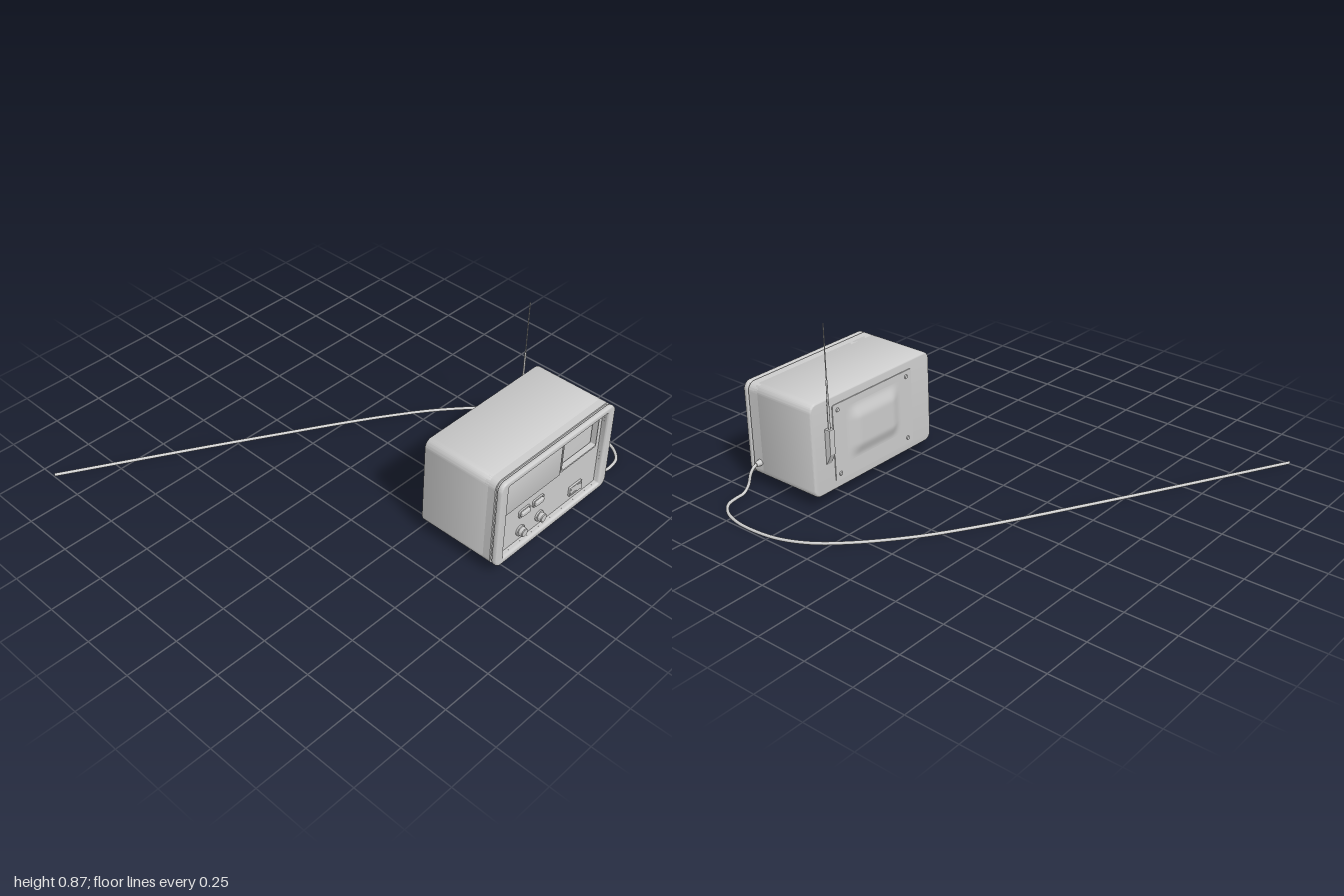
import * as THREE from 'three';
import { toCreasedNormals } from 'three/addons/utils/BufferGeometryUtils.js';
import { RoundedBoxGeometry } from 'three/addons/geometries/RoundedBoxGeometry.js';

const grey = new THREE.MeshStandardMaterial({ color: 0xcccccc });
const greyDouble = new THREE.MeshStandardMaterial({ color: 0xcccccc, side: THREE.DoubleSide });

// Rounded rectangle from its edges; also used for holes
function rect(x0, x1, y0, y1, r, Type = THREE.Shape) {
  const s = new Type();
  s.moveTo(x0 + r, y0);
  s.lineTo(x1 - r, y0);
  s.absarc(x1 - r, y0 + r, r, -Math.PI / 2, 0);
  s.lineTo(x1, y1 - r);
  s.absarc(x1 - r, y1 - r, r, 0, Math.PI / 2);
  s.lineTo(x0 + r, y1);
  s.absarc(x0 + r, y1 - r, r, Math.PI / 2, Math.PI);
  s.lineTo(x0, y0 + r);
  s.absarc(x0 + r, y0 + r, r, Math.PI, Math.PI * 1.5);
  return s;
}

// Extrude a shape (with holes) between two z planes, with rounded edges
function slab(shape, z0, z1, bevel = 0, ...holes) {
  shape.holes.push(...holes);
  const g = new THREE.ExtrudeGeometry(shape, {
    depth: z1 - z0 - 2 * bevel, curveSegments: 8, bevelEnabled: bevel > 0,
    bevelSize: bevel, bevelThickness: bevel, bevelOffset: -bevel, bevelSegments: 4,
  });
  g.translate(0, 0, z0 + bevel);
  return toCreasedNormals(g, 0.6);
}

export function createModel() {
  const model = new THREE.Group();
  const add = (name, geometry, x = 0, y = 0, z = 0, material = grey) => {
    const m = new THREE.Mesh(geometry, material);
    m.name = name;
    m.position.set(x, y, z);
    model.add(m);
    return m;
  };
  const hole = (x0, x1, y0, y1, r) => rect(x0, x1, y0, y1, r, THREE.Path);
  const outline = (inset = 0) => rect(-0.08 + inset, 0.69 - inset, 0.05 + inset, 0.51 - inset, 0.04 - inset);
  const opening = () => hole(-0.03, 0.64, 0.08, 0.48, 0.006);

  // Case, front rim, groove and bezel
  add('case', slab(outline(), 0.51, 0.87, 0.01));
  add('caseRim', slab(outline(), 0.84, 0.897, 0, opening()));
  add('grooveCore', slab(outline(0.008), 0.89, 0.912, 0, opening()));
  add('bezel', slab(outline(), 0.905, 0.93, 0.008, opening()));

  // Recessed front panel with a deep right window
  add('frontPanel', slab(rect(-0.03, 0.64, 0.08, 0.48, 0.004), 0.875, 0.9, 0, hole(0.37, 0.61, 0.305, 0.465, 0.004)));
  add('rightWindowFrame', slab(rect(0.363, 0.615, 0.297, 0.47, 0.004), 0.895, 0.904, 0, hole(0.37, 0.61, 0.305, 0.465, 0.004)));
  add('leftWindow', slab(rect(-0.012, 0.355, 0.292, 0.463, 0.006), 0.895, 0.908, 0.003));

  // Two push buttons in frames
  for (const x of [0.128, 0.221]) {
    add('buttonFrame', slab(rect(x - 0.036, x + 0.036, 0.209, 0.249, 0.01), 0.897, 0.908, 0.002,
      hole(x - 0.029, x + 0.029, 0.215, 0.243, 0.006)));
    add('button', new RoundedBoxGeometry(0.054, 0.024, 0.024, 2, 0.005), x, 0.229, 0.905);
  }

  // Two turning knobs
  const knobProfile = [[0, 0], [0.027, 0], [0.027, 0.01], [0.022, 0.012], [0.021, 0.028], [0.018, 0.031], [0, 0.031]]
    .map(([r, h]) => new THREE.Vector2(r, h));
  for (const x of [0.112, 0.241]) {
    const g = toCreasedNormals(new THREE.LatheGeometry(knobProfile, 28), 0.6);
    add('knob', g.rotateX(Math.PI / 2), x, 0.13, 0.898);
  }

  // Rocker switch
  add('switchFrame', slab(rect(0.447, 0.533, 0.108, 0.158, 0.005), 0.897, 0.91, 0.002,
    hole(0.456, 0.524, 0.115, 0.151, 0.002)));
  const rocker = new THREE.Shape();
  rocker.moveTo(-0.033, 0);
  rocker.lineTo(0.033, 0);
  rocker.lineTo(0.033, 0.02);
  rocker.lineTo(-0.003, 0.009);
  rocker.lineTo(-0.033, 0.012);
  const rockerGeometry = new THREE.ExtrudeGeometry(rocker, { depth: 0.034, bevelEnabled: false });
  add('switchRocker', rockerGeometry.rotateX(Math.PI / 2), 0.49, 0.15, 0.897);

  // Tapered feet
  for (const x of [0.02, 0.59]) for (const z of [0.597, 0.845]) {
    add('foot', new THREE.CylinderGeometry(0.021, 0.014, 0.05, 20), x, 0.027, z);
  }

  // Back panel with a softly raised middle
  add('backPanel', slab(rect(0.05, 0.56, 0.09, 0.465, 0.01), 0.506, 0.515));
  const bulge = new THREE.PlaneGeometry(0.35, 0.27, 40, 32);
  const p = bulge.attributes.position;
  const ramp = (v, half) => THREE.MathUtils.smoothstep(half - Math.abs(v), 0, 0.075);
  for (let i = 0; i < p.count; i++) {
    p.setZ(i, 0.021 * ramp(p.getX(i), 0.175) * ramp(p.getY(i), 0.135));
  }
  bulge.computeVertexNormals();
  add('backBulge', bulge.rotateY(Math.PI), 0.305, 0.295, 0.5055, greyDouble);
  for (const x of [0.085, 0.53]) for (const y of [0.12, 0.435]) {
    const g = new THREE.CylinderGeometry(0.008, 0.011, 0.006, 16).rotateX(-Math.PI / 2);
    add('backScrew', g, x, y, 0.504);
  }

  // Antenna bracket, tapered at its foot, and telescopic rod
  const side = new THREE.Shape();
  side.moveTo(0.512, 0.19);
  side.lineTo(0.498, 0.215);
  side.lineTo(0.481, 0.25);
  side.lineTo(0.481, 0.37);
  side.lineTo(0.512, 0.37);
  const bracket = new THREE.ExtrudeGeometry(side, { depth: 0.03, bevelEnabled: false });
  add('antennaBracket', bracket.rotateY(-Math.PI / 2), 0.61, 0, 0);
  const rod = [[0.36, 0.49, 0.0055], [0.48, 0.605, 0.0045], [0.6, 0.87, 0.0025]];
  for (const [y0, y1, r] of rod) {
    add('antennaRod', new THREE.CylinderGeometry(r, r, y1 - y0, 12), 0.595, (y0 + y1) / 2, 0.495);
  }

  // Cable gland and power cable
  add('cableGland', new THREE.CylinderGeometry(0.012, 0.016, 0.034, 18).rotateZ(-Math.PI / 2), 0.702, 0.125, 0.857);
  const path = [
    [0.69, 0.125, 0.857], [0.725, 0.122, 0.857], [0.752, 0.095, 0.857], [0.77, 0.045, 0.857],
    [0.8, 0.015, 0.857], [0.85, 0.01, 0.856], [0.905, 0.01, 0.842], [0.955, 0.01, 0.79],
    [0.984, 0.01, 0.71], [0.992, 0.01, 0.61], [0.973, 0.01, 0.46], [0.91, 0.01, 0.32],
    [0.8, 0.01, 0.187], [0.6, 0.01, 0.01], [0.4, 0.01, -0.128], [0.2, 0.01, -0.25],
    [0, 0.01, -0.365], [-0.4, 0.01, -0.593], [-0.997, 0.01, -0.925],
  ].map((a) => new THREE.Vector3(...a));
  add('powerCable', new THREE.TubeGeometry(new THREE.CatmullRomCurve3(path, false, 'centripetal'), 220, 0.0075, 12), 0, 0, 0, greyDouble);

  return model;
}
